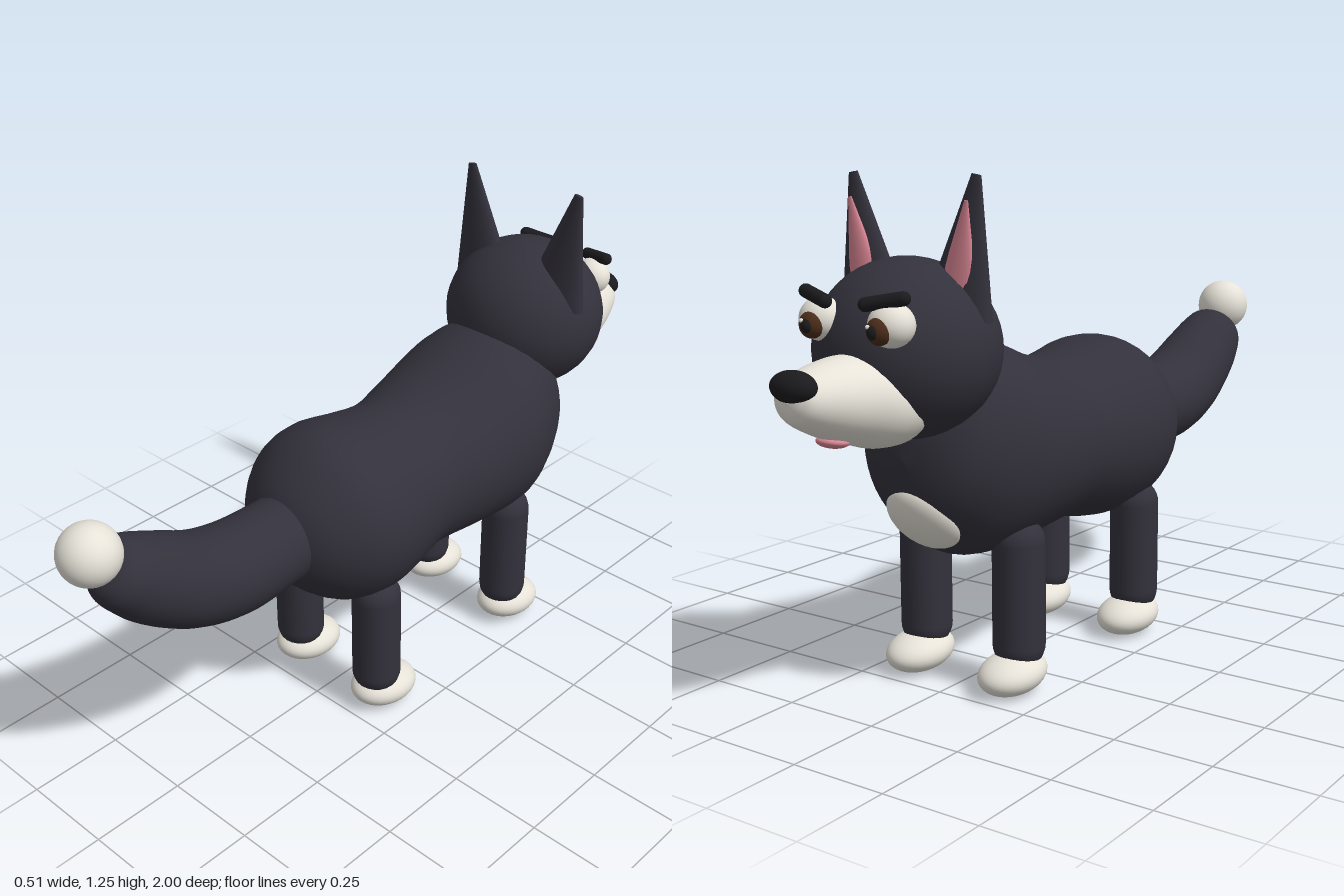
import * as THREE from 'three';

const COLORS = { fur: 0x33313b, white: 0xe6e2d8, pink: 0xd98593, brown: 0x4a2c1a, black: 0x1b1a1d };
const mats = {};
for (const k in COLORS) mats[k] = new THREE.MeshStandardMaterial({ color: COLORS[k] });

function add(parent, name, geometry, color, pos = [0, 0, 0], scale = [1, 1, 1], rot = [0, 0, 0]) {
  const m = new THREE.Mesh(geometry, mats[color]);
  m.name = name;
  m.position.set(...pos);
  m.scale.set(...scale);
  m.rotation.set(...rot);
  parent.add(m);
  return m;
}

const ball = new THREE.SphereGeometry(1, 32, 24);

// Smooth skin through elliptical sections [z, y, rx, ry], listed towards +z.
// With follow set, each ring stands square to the centre line.
function loft(sections, follow = false, steps = 56, sides = 40) {
  const centre = new THREE.CatmullRomCurve3(sections.map(([z, y]) => new THREE.Vector3(0, y, z)), false, 'catmullrom');
  const radii = new THREE.CatmullRomCurve3(sections.map(([, , rx, ry]) => new THREE.Vector3(rx, ry, 0)), false, 'catmullrom');
  const pos = [], index = [];
  for (let i = 0; i <= steps; i++) {
    const c = centre.getPoint(i / steps), r = radii.getPoint(i / steps);
    const t = follow ? centre.getTangent(i / steps) : new THREE.Vector3(0, 0, 1);
    for (let j = 0; j < sides; j++) {
      const a = (j / sides) * Math.PI * 2;
      const u = Math.max(r.y, 0) * Math.sin(a);
      pos.push(Math.max(r.x, 0) * Math.cos(a), c.y + u * t.z, c.z - u * t.y);
      if (i < steps) {
        const k = (j + 1) % sides, p = i * sides, q = p + sides;
        index.push(p + j, p + k, q + j, p + k, q + k, q + j);
      }
    }
  }
  const g = new THREE.BufferGeometry();
  g.setAttribute('position', new THREE.Float32BufferAttribute(pos, 3));
  g.setIndex(index);
  g.computeVertexNormals();
  return g;
}

// Capsule between two points
function bar(parent, name, a, b, r, color) {
  const A = new THREE.Vector3(...a), B = new THREE.Vector3(...b);
  const m = add(parent, name, new THREE.CapsuleGeometry(r, A.distanceTo(B), 8, 20), color);
  m.position.copy(A).add(B).multiplyScalar(0.5);
  m.quaternion.setFromUnitVectors(new THREE.Vector3(0, 1, 0), B.sub(A).normalize());
  return m;
}

export function createModel() {
  const dog = new THREE.Group();
  dog.name = 'dog';

  // Body with full chest, narrow waist and round hips
  add(dog, 'body', loft([
    [-0.62, 0.6, 0, 0], [-0.61, 0.6, 0.08, 0.085], [-0.585, 0.61, 0.14, 0.155], [-0.54, 0.625, 0.185, 0.22],
    [-0.46, 0.613, 0.225, 0.268], [-0.36, 0.6, 0.253, 0.265], [-0.2, 0.576, 0.238, 0.229],
    [-0.06, 0.563, 0.212, 0.214], [0.06, 0.557, 0.233, 0.232], [0.16, 0.562, 0.247, 0.243],
    [0.25, 0.567, 0.226, 0.222], [0.33, 0.567, 0.165, 0.158], [0.375, 0.565, 0.09, 0.09], [0.39, 0.565, 0, 0],
  ]), 'fur');
  add(dog, 'chestPatch', ball, 'white', [0, 0.455, -0.545], [0.1, 0.1, 0.05], [-0.65, 0, 0]);

  // Tail curving up to a pale ball
  add(dog, 'tail', loft([
    [0.28, 0.57, 0.11, 0.11], [0.4, 0.567, 0.113, 0.113], [0.53, 0.567, 0.12, 0.118], [0.65, 0.598, 0.118, 0.117],
    [0.76, 0.659, 0.108, 0.11], [0.83, 0.71, 0.096, 0.096], [0.868, 0.744, 0.08, 0.08],
    [0.888, 0.762, 0.05, 0.05], [0.895, 0.768, 0, 0],
  ], true), 'fur');
  add(dog, 'tailTip', ball, 'white', [0, 0.81, 0.925], [0.075, 0.075, 0.075]);

  // Head, muzzle, nose and tongue
  const head = new THREE.Group();
  head.name = 'head';
  dog.add(head);
  add(head, 'skull', ball, 'fur', [0, 0.863, -0.595], [0.223, 0.208, 0.21]);
  add(head, 'muzzle', loft([
    [-0.985, 0.795, 0, 0], [-0.978, 0.794, 0.035, 0.03], [-0.955, 0.792, 0.062, 0.055], [-0.88, 0.783, 0.093, 0.083],
    [-0.8, 0.773, 0.112, 0.1], [-0.73, 0.757, 0.126, 0.103], [-0.66, 0.755, 0.12, 0.09], [-0.6, 0.755, 0, 0],
  ]), 'white');
  add(head, 'nose', ball, 'black', [0, 0.825, -0.963], [0.06, 0.036, 0.037], [-0.3, 0, 0]);
  add(head, 'tongue', ball, 'pink', [0, 0.69, -0.85], [0.038, 0.015, 0.036], [0.15, 0, 0]);

  for (const s of [1, -1]) {
    const side = s > 0 ? 'left' : 'right';

    // Eyes and slanted brows
    add(head, side + 'Eye', ball, 'white', [s * 0.1, 0.94, -0.765], [0.054, 0.05, 0.05]);
    add(head, side + 'Iris', ball, 'brown', [s * 0.097, 0.931, -0.802], [0.031, 0.031, 0.025]);
    add(head, side + 'Pupil', ball, 'black', [s * 0.095, 0.93, -0.818], [0.016, 0.017, 0.014]);
    add(head, side + 'EyeGlint', ball, 'white', [s * 0.095 + 0.009, 0.942, -0.827], [0.005, 0.005, 0.005]);
    bar(head, side + 'Brow', [s * 0.058, 0.985, -0.8], [s * 0.14, 1.0, -0.772], 0.016, 'black');

    // Flattened cone ears leaning outwards, pink in front
    const ear = new THREE.Group();
    ear.name = side + 'Ear';
    ear.position.set(s * 0.151, 1.1, -0.565);
    ear.rotation.z = -s * 0.175;
    head.add(ear);
    add(ear, 'earShell', new THREE.CylinderGeometry(0.013, 0.093, 0.312, 32), 'fur', [0, 0, 0], [1, 1, 0.42]);
    add(ear, 'earInner', new THREE.CylinderGeometry(0.005, 0.058, 0.23, 24), 'pink', [0, -0.015, -0.018], [1, 1, 0.4], [-0.06, 0, 0]);

    // Legs with forward-set paws
    for (const [name, z, top] of [['front', -0.368, 0.44], ['hind', 0.166, 0.425]]) {
      const leg = new THREE.Group();
      leg.name = name + side[0].toUpperCase() + side.slice(1) + 'Leg';
      dog.add(leg);
      bar(leg, 'shin', [s * 0.144, 0.12, z], [s * 0.144, top - 0.065, z], 0.065, 'fur');
      add(leg, 'paw', ball, 'white', [s * 0.144, 0.055, z - 0.028], [0.077, 0.05, 0.1], [-0.08, 0, 0]);
    }
  }
  return dog;
}
